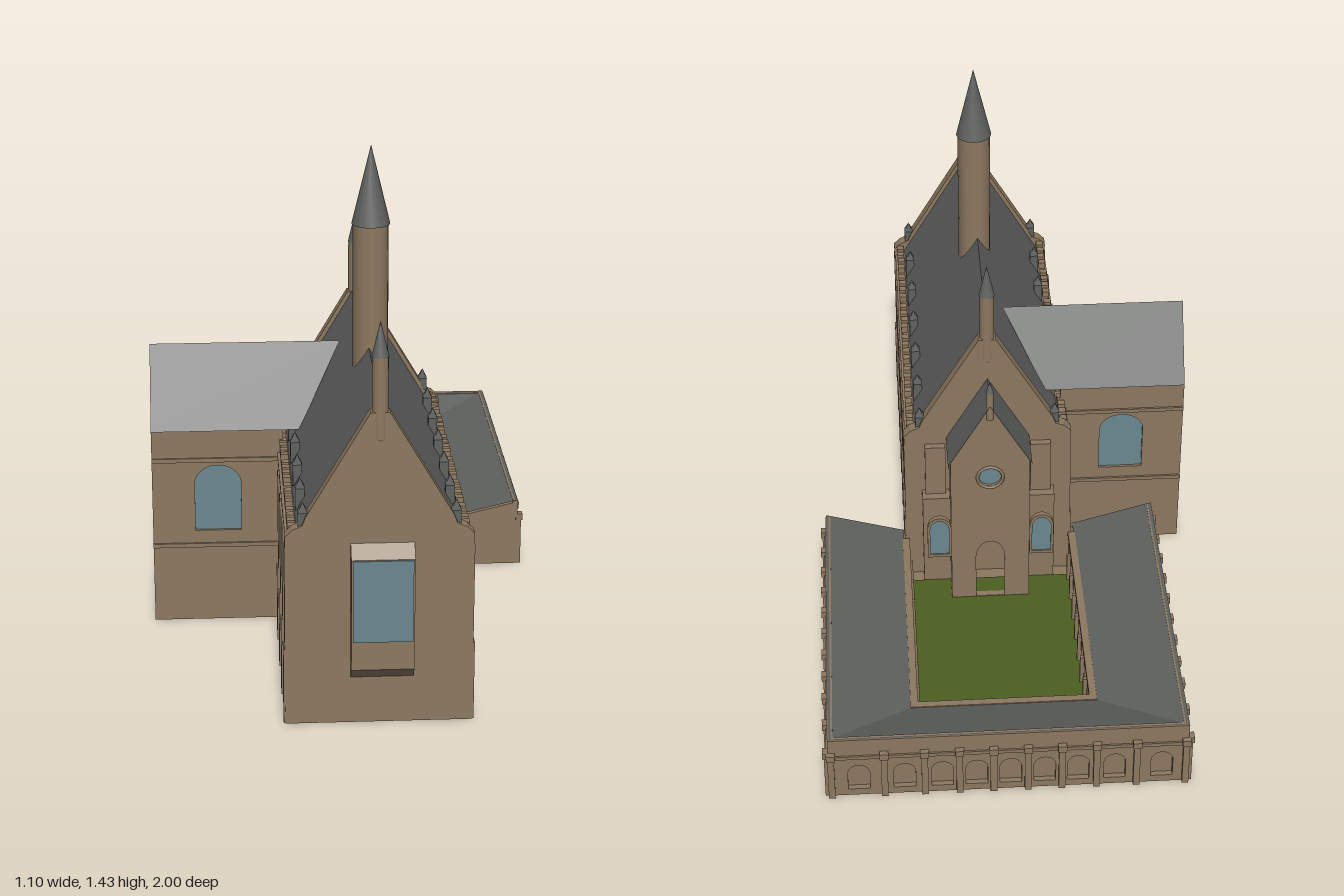
import * as THREE from 'three';

const mat = (name, color) => {
  const m = new THREE.MeshStandardMaterial({ color, side: THREE.DoubleSide });
  m.name = name;
  return m;
};

export function createModel() {
  const stone = mat('stone', 0x8c7860), slate = mat('slate', 0x5f615f);
  const glass = mat('glass', 0x6b878f), grass = mat('grass', 0x4d5f20);
  const root = new THREE.Group();
  root.name = 'hallAndCloister';
  const CX = 0.045; // centre line of the hall

  const group = (name) => {
    const g = new THREE.Group();
    g.name = name;
    root.add(g);
    return g;
  };
  const add = (g, name, geo, m) => {
    const mesh = new THREE.Mesh(geo, m);
    mesh.name = name;
    g.add(mesh);
    return mesh;
  };
  // Box given by its limits
  const box = (g, name, m, x0, x1, y0, y1, z0, z1) =>
    add(g, name, new THREE.BoxGeometry(x1 - x0, y1 - y0, z1 - z0), m)
      .position.set((x0 + x1) / 2, (y0 + y1) / 2, (z0 + z1) / 2);
  const poly = (pts) => new THREE.Shape(pts.map((p) => new THREE.Vector2(p[0], p[1])));
  const rect = (u0, u1, y0, y1) => poly([[u0, y0], [u1, y0], [u1, y1], [u0, y1]]);
  const arch = (c, w, y0, y1, rise) => {
    const s = new THREE.Shape();
    s.moveTo(c - w / 2, y0);
    s.lineTo(c + w / 2, y0);
    s.lineTo(c + w / 2, y1 - rise);
    s.absellipse(c, y1 - rise, w / 2, rise, 0, Math.PI, false);
    s.closePath();
    return s;
  };
  const extrude = (shape, depth) =>
    new THREE.ExtrudeGeometry(shape, { depth, bevelEnabled: false, curveSegments: 10 });
  const alongZ = (g, name, m, shape, z0, z1) => {
    add(g, name, extrude(shape, z1 - z0), m).position.z = z0;
  };
  // Profile drawn in (-z, y), pushed along x
  const alongX = (g, name, m, shape, x0, x1) => {
    const mesh = add(g, name, extrude(shape, x1 - x0), m);
    mesh.rotation.y = Math.PI / 2;
    mesh.position.x = x0;
  };
  const quads = (g, name, m, list) => {
    const pos = [];
    for (const [a, b, c, d] of list) pos.push(...a, ...b, ...c, ...a, ...c, ...d);
    const geo = new THREE.BufferGeometry();
    geo.setAttribute('position', new THREE.Float32BufferAttribute(pos, 3));
    geo.computeVertexNormals();
    add(g, name, geo, m);
  };
  const spire = (g, name, x, z, r, y0, y1, top) => {
    add(g, name + 'Shaft', new THREE.CylinderGeometry(r, r, y1 - y0, 16), stone).position.set(x, (y0 + y1) / 2, z);
    add(g, name + 'Cap', new THREE.ConeGeometry(r * 1.08, top - y1, 16), slate).position.set(x, (y1 + top) / 2, z);
  };

  // Hall side walls with two rows of windows
  const hall = group('hall');
  const bays = [0.86, 0.695, 0.528, 0.36, 0.193, 0.027];
  const piers = [0.945, 0.778, 0.611, 0.444, 0.277, 0.11, -0.055];
  for (const s of [1, -1]) {
    const X = (d0, d1) => (s > 0 ? [CX + d0, CX + d1] : [CX - d1, CX - d0]);
    const wall = rect(-0.96, 0.07, 0, 0.525);
    for (const z of bays) {
      if (s < 0 && z === 0.193) continue;
      wall.holes.push(arch(-z, 0.09, 0.29, 0.465, 0.04), arch(-z, 0.09, 0.122, 0.215, 0.03));
    }
    alongX(hall, 'sideWall', stone, wall, ...X(0.212, 0.232));
    box(hall, 'sideGlazing', glass, ...X(0.206, 0.212), 0, 0.52, -0.04, 0.93);
    for (const [y0, y1, d] of [[0, 0.012, 0.24], [0.09, 0.103, 0.24], [0.215, 0.228, 0.242], [0.495, 0.507, 0.242]])
      box(hall, 'stringCourse', stone, ...X(0.23, d), y0, y1, -0.07, 0.96);
    for (const z of piers) {
      box(hall, 'buttress', stone, ...X(0.23, 0.246), 0, 0.5, z - 0.02, z + 0.02);
      box(hall, 'buttressFoot', stone, ...X(0.23, 0.25), 0, 0.22, z - 0.017, z + 0.017);
      box(hall, 'innerPier', stone, ...X(0.2, 0.206), 0, 0.52, z - 0.012, z + 0.012);
      box(hall, 'pinnacle', slate, ...X(0.185, 0.21), 0.52, 0.592, z - 0.011, z + 0.011);
      const tip = add(hall, 'pinnacleTip', new THREE.ConeGeometry(0.018, 0.028, 4), slate);
      tip.position.set(CX + s * 0.1975, 0.606, z);
      tip.rotation.y = Math.PI / 4;
    }
    // Battlements
    for (const z of bays)
      for (let i = -1.5; i < 2; i++)
        box(hall, 'merlon', stone, ...X(0.215, 0.236), 0.52, 0.545, z + i * 0.036 - 0.011, z + i * 0.036 + 0.011);
  }

  // Hall gables and roof
  const gable = () => poly([[-0.245, 0], [0.245, 0], [0.245, 0.53], [0.225, 0.55], [0.2, 0.56],
    [0.19, 0.585], [0.025, 0.865], [-0.025, 0.865], [-0.19, 0.585], [-0.2, 0.56], [-0.225, 0.55], [-0.245, 0.53]]
    .map(([x, y]) => [x + CX, y]));
  alongZ(hall, 'frontGable', stone, gable(), 0.93, 0.965);
  alongZ(hall, 'backGable', stone, gable(), -0.075, -0.04);
  quads(hall, 'hallRoof', slate, [
    [[CX + 0.215, 0.52, 0.935], [CX + 0.215, 0.52, -0.045], [CX, 0.885, -0.045], [CX, 0.885, 0.935]],
    [[CX - 0.215, 0.52, -0.045], [CX - 0.215, 0.52, 0.935], [CX, 0.885, 0.935], [CX, 0.885, -0.045]],
  ]);
  spire(hall, 'ridgeTurret', CX + 0.007, 0.475, 0.048, 0.78, 1.22, 1.435);
  spire(hall, 'frontSpire', CX, 0.948, 0.021, 0.79, 1.01, 1.105);
  spire(hall, 'backSpire', CX, -0.058, 0.021, 0.79, 1.01, 1.105);

  // Oriel window on the front
  const oriel = group('oriel');
  alongX(oriel, 'orielBody', stone,
    poly([[-0.96, 0.125], [-0.96, 0.515], [-0.996, 0.475], [-0.996, 0.165]]), -0.03, 0.135);
  box(oriel, 'orielGlass', glass, -0.026, 0.131, 0.245, 0.473, 0.994, 1.0);

  // Side wing
  const wing = group('sideWing');
  alongX(wing, 'wingCore', glass, poly([[-0.302, 0], [-0.078, 0], [-0.078, 0.575], [-0.19, 0.785], [-0.302, 0.575]]), -0.549, -0.185);
  for (const [z0, z1, o0, o1] of [[0.302, 0.31, 0.31, 0.316], [0.07, 0.078, 0.064, 0.07]]) {
    const wall = rect(-0.55, -0.18, 0, 0.58);
    wall.holes.push(arch(-0.365, 0.13, 0.275, 0.472, 0.055));
    alongZ(wing, 'wingWall', stone, wall, z0, z1);
    for (const y of [0.225, 0.483]) box(wing, 'wingString', stone, -0.55, -0.19, y, y + 0.012, o0, o1);
  }
  quads(wing, 'wingRoof', slate, [
    [[-0.55, 0.576, 0.314], [-0.135, 0.576, 0.314], [-0.015, 0.795, 0.19], [-0.55, 0.795, 0.19]],
    [[-0.135, 0.576, 0.066], [-0.55, 0.576, 0.066], [-0.55, 0.795, 0.19], [-0.015, 0.795, 0.19]],
  ]);

  // Gabled porch at the back
  const porch = group('porch');
  const porchWall = poly([[-0.115, 0], [0.115, 0], [0.115, 0.53], [0, 0.725], [-0.115, 0.53]].map(([x, y]) => [x + CX, y]));
  porchWall.holes.push(arch(CX, 0.085, 0.02, 0.23, 0.06));
  const eye = new THREE.Path();
  eye.absarc(CX, 0.47, 0.035, 0, Math.PI * 2);
  porchWall.holes.push(eye);
  alongZ(porch, 'porchFront', stone, porchWall, -0.205, -0.185);
  alongZ(porch, 'roundWindow', glass, new THREE.Shape().absarc(CX, 0.47, 0.037, 0, Math.PI * 2), -0.192, -0.187);
  add(porch, 'roundWindowRing', new THREE.TorusGeometry(0.037, 0.005, 6, 20), stone).position.set(CX, 0.47, -0.205);
  quads(porch, 'porchRoof', slate, [
    [[CX + 0.122, 0.52, -0.07], [CX + 0.122, 0.52, -0.212], [CX, 0.73, -0.212], [CX, 0.73, -0.07]],
    [[CX - 0.122, 0.52, -0.212], [CX - 0.122, 0.52, -0.07], [CX, 0.73, -0.07], [CX, 0.73, -0.212]],
  ]);
  spire(porch, 'porchFinial', CX, -0.2, 0.011, 0.68, 0.77, 0.81);
  for (const s of [1, -1]) {
    const c = CX + s * 0.108, f = CX + s * 0.15, b = CX + s * 0.155;
    box(porch, 'porchSide', stone, c - 0.007, c + 0.007, 0, 0.53, -0.2, -0.07);
    box(porch, 'cornerButtress', stone, b - 0.04, b + 0.04, 0, 0.33, -0.12, -0.07);
    box(porch, 'cornerButtressTop', stone, b - 0.03, b + 0.03, 0.33, 0.5, -0.095, -0.07);
    // Flanking arched windows
    const frame = arch(f, 0.07, 0.19, 0.335, 0.04);
    frame.holes.push(arch(f, 0.055, 0.2, 0.325, 0.035));
    alongZ(porch, 'flankFrame', stone, frame, -0.22, -0.205);
    alongZ(porch, 'flankGlass', glass, arch(f, 0.058, 0.2, 0.327, 0.035), -0.216, -0.21);
  }

  // Cloister floor and lawn
  const cloister = group('cloister');
  box(cloister, 'cloisterFloor', stone, -0.455, 0.535, 0.002, 0.012, -0.985, -0.05);
  box(cloister, 'lawn', grass, -0.2, 0.285, 0, 0.018, -0.79, -0.12);

  // Outer walls with blind arches, and an open doorway at each end of the back walk
  const sideArches = [0.085, 0.175, 0.265, 0.355, 0.445, 0.535, 0.625, 0.715, 0.805];
  const backArches = [-0.38, -0.25, -0.15, -0.058, 0.035, 0.128, 0.222, 0.325, 0.45];
  const outerArch = (c) => arch(c, 0.06, 0.022, 0.11, 0.03);
  for (const s of [1, -1]) {
    const X = (d0, d1) => (s > 0 ? [0.04 + d0, 0.04 + d1] : [0.04 - d1, 0.04 - d0]);
    const wall = rect(0.03, 0.985, 0, 0.205);
    sideArches.forEach((u) => wall.holes.push(outerArch(u)));
    wall.holes.push(arch(0.912, 0.056, 0.012, 0.112, 0.03));
    alongX(cloister, 'outerSideWall', stone, wall, ...X(0.477, 0.492));
    box(cloister, 'blindArchBack', stone, ...X(0.47, 0.477), 0.01, 0.15, -0.86, -0.03);
    box(cloister, 'sideString', stone, ...X(0.49, 0.497), 0.137, 0.148, -0.985, -0.03);
    for (const z of [-0.04, -0.13, -0.22, -0.31, -0.4, -0.49, -0.58, -0.67, -0.76, -0.865, -0.975]) {
      box(cloister, 'sideButtress', stone, ...X(0.49, 0.503), 0, 0.145, z - 0.009, z + 0.009);
      box(cloister, 'sideButtressCap', stone, ...X(0.487, 0.507), 0.14, 0.16, z - 0.012, z + 0.012);
    }
    // Front end of each walk
    const [i, o] = [CX + s * 0.235, 0.04 + s * 0.485];
    alongZ(cloister, 'walkEnd', stone, poly([[i, 0], [o, 0], [o, 0.198], [i, 0.138]]), -0.045, -0.03);
    // Inner side arcade
    const inner = rect(0.07, 0.805, 0, 0.138);
    sideArches.slice(0, 8).forEach((u) => inner.holes.push(arch(u + 0.01, 0.064, 0.03, 0.115, 0.045)));
    const [a0, a1] = s > 0 ? [0.285, 0.298] : [-0.213, -0.2];
    alongX(cloister, 'innerSideArcade', stone, inner, a0, a1);
    box(cloister, 'innerSideCoping', stone, a0 - 0.004, a1 + 0.004, 0.135, 0.15, -0.805, -0.08);
    for (let k = 0; k < 9; k++) {
      const x = s > 0 ? 0.28 : -0.195, z = -0.05 - k * 0.09;
      if (k) box(cloister, 'arcadePier', stone, x - 0.006, x + 0.006, 0, 0.11, z - 0.006, z + 0.006);
    }
  }
  const back = rect(-0.452, 0.532, 0, 0.205);
  backArches.forEach((x) => back.holes.push(outerArch(x)));
  alongZ(cloister, 'outerBackWall', stone, back, -0.985, -0.97);
  box(cloister, 'blindArchBack', stone, -0.44, 0.52, 0.01, 0.15, -0.97, -0.963);
  box(cloister, 'backString', stone, -0.452, 0.532, 0.137, 0.148, -0.99, -0.984);
  for (const x of [-0.445, -0.31, -0.2, -0.105, -0.012, 0.082, 0.175, 0.27, 0.38, 0.525]) {
    box(cloister, 'backButtress', stone, x - 0.009, x + 0.009, 0, 0.145, -0.996, -0.984);
    box(cloister, 'backButtressCap', stone, x - 0.012, x + 0.012, 0.14, 0.16, -1.0, -0.981);
  }
  const innerBack = rect(-0.213, 0.298, 0, 0.138);
  for (let k = 0; k < 5; k++) innerBack.holes.push(arch(CX + (k - 2) * 0.093, 0.066, 0.03, 0.115, 0.045));
  alongZ(cloister, 'innerBackArcade', stone, innerBack, -0.805, -0.792);
  box(cloister, 'innerBackCoping', stone, -0.217, 0.302, 0.135, 0.15, -0.809, -0.788);

  // Lean-to roof falling towards the court
  const [oL, oR, iL, iR, hi, lo] = [-0.45, 0.53, -0.213, 0.298, 0.207, 0.146];
  quads(cloister, 'cloisterRoof', slate, [
    [[oL, hi, -0.025], [iL, lo, -0.035], [iL, lo, -0.805], [oL, hi, -0.983]],
    [[iR, lo, -0.035], [oR, hi, -0.025], [oR, hi, -0.983], [iR, lo, -0.805]],
    [[iL, lo, -0.805], [iR, lo, -0.805], [oR, hi, -0.983], [oL, hi, -0.983]],
  ]);
  return root;
}
